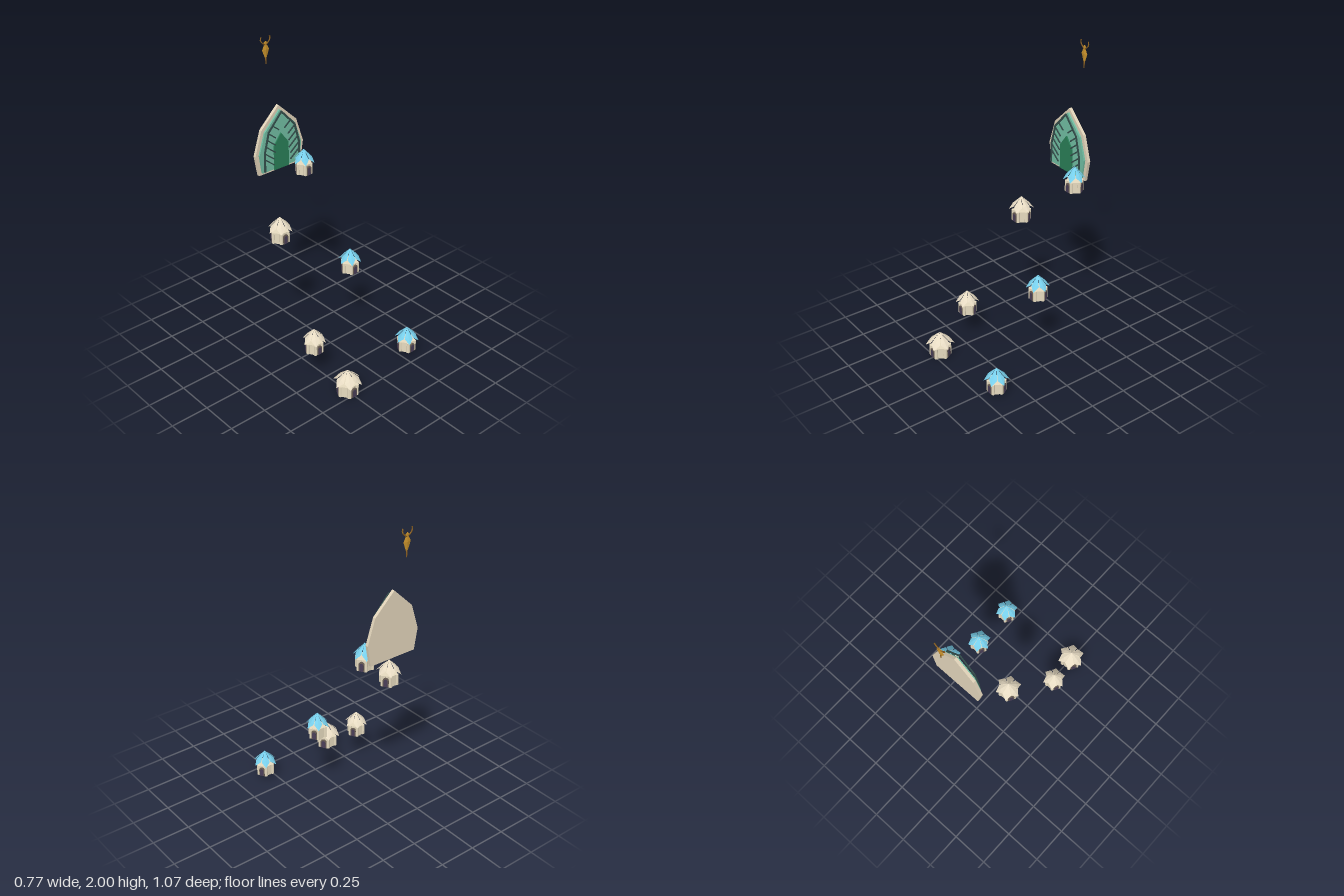
import * as THREE from 'three';

const mat = (color, extra = {}) => new THREE.MeshStandardMaterial({ color, flatShading: true, ...extra });
const thin = { side: THREE.DoubleSide };
const creamRoof = mat(0xe8dcc4, thin), blueRoof = mat(0x78d0ec, thin), stone = mat(0xe2d4ba);
const wallMat = mat(0xe8dcc0), frameMat = mat(0x6b5f55), doorMat = mat(0x4a3f58);
const lightGreen = mat(0x72c0a4), darkGreen = mat(0x2a8058), vine = mat(0x344f4c);
const gold = mat(0xcc942c), bronze = mat(0x8a5f22);

function add(parent, name, geometry, material, x = 0, y = 0, z = 0) {
  const mesh = new THREE.Mesh(geometry, material);
  mesh.name = name;
  mesh.position.set(x, y, z);
  parent.add(mesh);
  return mesh;
}

// Flat plate mirrored about x = 0 from its right-hand outline, bottom to top
function plate(half, depth) {
  const left = half.filter(p => p[0] > 0).reverse().map(([x, y]) => [-x, y]);
  const shape = new THREE.Shape([...half, ...left].map(p => new THREE.Vector2(...p)));
  return new THREE.ExtrudeGeometry(shape, { depth, bevelEnabled: false });
}

// Flat bar between two points in a plane facing the front
function bar(parent, name, a, b, width, depth, material, z) {
  const [dx, dy] = [b[0] - a[0], b[1] - a[1]];
  const mesh = add(parent, name, new THREE.BoxGeometry(Math.hypot(dx, dy) + width * 0.5, width, depth),
    material, (a[0] + b[0]) / 2, (a[1] + b[1]) / 2, z);
  mesh.rotation.z = Math.atan2(dy, dx);
}

// Kite-shaped roof leaf pointing along +x, folded along its ridge
function petalGeometry(R, H) {
  const a = THREE.MathUtils.degToRad(27.5), r = R * 0.72;
  const x = r * Math.cos(a), z = r * Math.sin(a);
  const g = new THREE.BufferGeometry();
  // apex, left corner, ridge, right corner, tip
  g.setAttribute('position', new THREE.Float32BufferAttribute(
    [0, H, 0, x, H * 0.65, z, x * 0.95, H * 0.71, 0, x, H * 0.65, -z, R, H * 0.47, 0], 3));
  g.setIndex([0, 1, 2, 0, 2, 3, 1, 4, 2, 2, 4, 3]);
  g.computeVertexNormals();
  return g;
}

// Arched doorway outline
function archGeometry(w, h, depth) {
  const s = new THREE.Shape();
  s.moveTo(-w / 2, 0);
  s.lineTo(w / 2, 0);
  s.lineTo(w / 2, h - w / 2);
  s.absarc(0, h - w / 2, w / 2, 0, Math.PI);
  return new THREE.ExtrudeGeometry(s, { depth, bevelEnabled: false, curveSegments: 5 });
}

// Six-sided hut with three doors under six leaf-shaped roof panels
function createHut(x, y, z, R, W, H, roofMat) {
  const hut = new THREE.Group();
  hut.name = 'hut';
  hut.position.set(x, y, z);
  const core = W * 0.9, wallH = H * 0.44, face = core * Math.cos(Math.PI / 6);
  add(hut, 'walls', new THREE.CylinderGeometry(core, core, wallH, 6, 1, false, Math.PI / 6), wallMat, 0, wallH / 2);
  const petal = petalGeometry(R, H);
  const pillar = new THREE.CylinderGeometry(W * 0.18, W * 0.18, wallH, 8);
  for (let i = 0; i < 6; i++) {
    const a = i * Math.PI / 3;
    add(hut, 'cornerPillar', pillar, wallMat, W * 0.83 * Math.cos(a), wallH / 2, W * 0.83 * Math.sin(a));
    add(hut, 'roofPetal', petal, roofMat).rotation.y = a;
  }
  for (let i = 0; i < 3; i++) {
    const door = new THREE.Group();
    door.name = 'doorway';
    door.rotation.y = i * Math.PI * 2 / 3;
    add(door, 'doorFrame', archGeometry(W * 0.62, wallH * 0.86, W * 0.12), frameMat, 0, 0, face);
    add(door, 'doorPanel', archGeometry(W * 0.4, wallH * 0.72, W * 0.14), doorMat, 0, 0, face);
    hut.add(door);
  }
  return hut;
}

// Layered pointed gate with leaf-vein tracery
function createGate() {
  const gate = new THREE.Group();
  gate.name = 'gate';
  gate.position.set(-0.053, 0, 0.002);
  add(gate, 'backSlab', plate([[0.166, 1.152], [0.19, 1.29], [0.138, 1.454], [0, 1.587]], 0.02), stone, 0, 0, -0.444);
  add(gate, 'greenPanel', plate([[0.148, 1.168], [0.166, 1.295], [0.12, 1.438], [0, 1.56]], 0.012), lightGreen, 0, 0, -0.424);
  add(gate, 'innerDoor', plate([[0.057, 1.165], [0.057, 1.33], [0, 1.405]], 0.008), darkGreen, 0, 0, -0.412);
  const frame = [[0.138, 1.182], [0.136, 1.31], [0.102, 1.44], [0, 1.552]];
  for (const s of [-1, 1]) {
    for (let i = 0; i < 3; i++) {
      bar(gate, 'archRib', [s * frame[i][0], frame[i][1]], [s * frame[i + 1][0], frame[i + 1][1]], 0.012, 0.006, vine, -0.398);
    }
    // veins slope down from the arch towards the door
    for (let i = 0; i < 6; i++) {
      const y = 1.265 + i * 0.042;
      const x = y < 1.31 ? 0.137 : y < 1.44 ? 0.136 - (y - 1.31) * 0.26 : 0.102 - (y - 1.44) * 0.91;
      const len = 0.07 - Math.max(0, i - 2) * 0.008;
      bar(gate, 'vein', [s * x, y], [s * (x - len), y - len * 0.8], 0.008, 0.006, vine, -0.398);
    }
  }
  return gate;
}

// Floating horned ornament
function createOrnament() {
  const o = new THREE.Group();
  o.name = 'hornedOrnament';
  o.position.set(-0.055, 0, -0.531);
  const profile = [[0.001, 1.85], [0.012, 1.875], [0.027, 1.914], [0.011, 1.945], [0.013, 1.96], [0.001, 1.97]];
  const body = new THREE.LatheGeometry(profile.map(p => new THREE.Vector2(...p)), 4);
  body.scale(1, 1, 0.2);
  add(o, 'body', body, gold);
  add(o, 'lowerSpike', new THREE.CylinderGeometry(0.005, 0.003, 0.045, 5), bronze, 0, 1.845);
  for (const s of [-1, 1]) {
    const curve = new THREE.CatmullRomCurve3([[0.003, 1.945], [0.022, 1.958], [0.034, 1.974], [0.036, 1.986], [0.032, 1.998]]
      .map(([x, y]) => new THREE.Vector3(s * x, y, 0)));
    add(o, 'horn', new THREE.TubeGeometry(curve, 8, 0.004, 5), bronze);
    const prong = add(o, 'hornProng', new THREE.ConeGeometry(0.004, 0.018, 5), gold, s * 0.037, 1.977);
    prong.rotation.z = -s * 0.6;
  }
  return o;
}

export function createModel() {
  const model = new THREE.Group();
  model.name = 'terracedVillage';
  // x, base y, z, roof radius, wall radius, height, roof
  const huts = [
    [-0.256, 0, 0.452, 0.094, 0.071, 0.172, creamRoof],
    [-0.308, 0.203, 0.197, 0.078, 0.06, 0.163, creamRoof],
    [0.304, 0.034, 0.401, 0.08, 0.062, 0.166, blueRoof],
    [0.178, 0.487, -0.013, 0.077, 0.06, 0.166, blueRoof],
    [-0.243, 0.8, -0.198, 0.082, 0.063, 0.167, creamRoof],
    [0.089, 1.1, -0.358, 0.073, 0.058, 0.166, blueRoof],
  ];
  huts.forEach(h => model.add(createHut(...h)));
  model.add(createGate(), createOrnament());
  return model;
}
